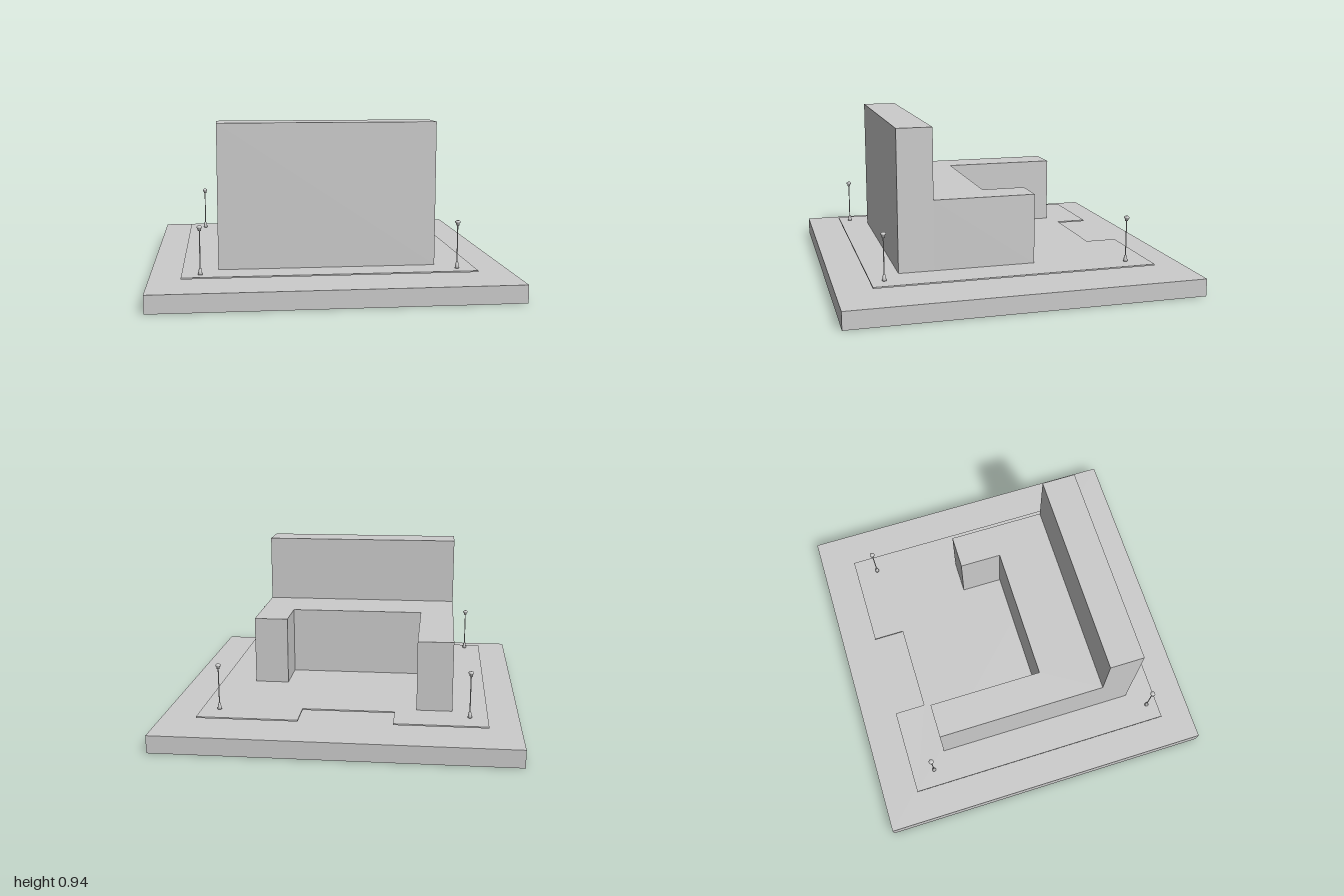
import * as THREE from 'three';

const material = new THREE.MeshStandardMaterial({ color: 0xcccccc });

// Extrudes a floor plan given as [x, z] corners from height y0 to y1
function extrudePlan(name, plan, y0, y1) {
  const shape = new THREE.Shape(plan.map(([x, z]) => new THREE.Vector2(x, -z)));
  const geometry = new THREE.ExtrudeGeometry(shape, { depth: y1 - y0, bevelEnabled: false });
  geometry.rotateX(-Math.PI / 2).translate(0, y0, 0);
  const mesh = new THREE.Mesh(geometry, material);
  mesh.name = name;
  return mesh;
}

function rectangle(x0, x1, z0, z1) {
  return [[x0, z0], [x0, z1], [x1, z1], [x1, z0]];
}

// Lamp post: flared foot, thin pole and a small capped head
function createLamp(x, z) {
  const lamp = new THREE.Group();
  lamp.name = 'lampPost';
  const addPart = (name, profile) => {
    const points = profile.map(([r, y]) => new THREE.Vector2(r, y));
    const mesh = new THREE.Mesh(new THREE.LatheGeometry(points, 12), material);
    mesh.name = name;
    lamp.add(mesh);
  };
  addPart('lampFoot', [[0, 0], [0.012, 0], [0.011, 0.012], [0.006, 0.036], [0, 0.036]]);
  addPart('lampPole', [[0.003, 0.03], [0.003, 0.245]]);
  addPart('lampHead', [[0, 0.238], [0.008, 0.238], [0.01, 0.252], [0.015, 0.254], [0.015, 0.261], [0.008, 0.267], [0, 0.267]]);
  lamp.position.set(x, 0.137, z);
  return lamp;
}

export function createModel() {
  const model = new THREE.Group();
  model.name = 'buildingSite';

  // Ground slab
  model.add(extrudePlan('groundSlab', rectangle(-1, 1, -1, 1), 0, 0.1));

  // Thin plaza plate with a notch at the back, hovering above the slab
  model.add(extrudePlan('plazaPlate', [
    [-0.82, -0.79], [-0.82, 0.81], [0.78, 0.81], [0.78, -0.79],
    [0.215, -0.79], [0.215, -0.605], [-0.305, -0.605], [-0.305, -0.79],
  ], 0.13, 0.138));

  // Building: low U-shaped wings and a tall front block
  const building = new THREE.Group();
  building.name = 'building';
  building.add(extrudePlan('lowWings', [
    [-0.625, -0.565], [-0.625, 0.44], [0.575, 0.44], [0.575, -0.14],
    [0.375, -0.14], [0.375, 0.11], [-0.425, 0.11], [-0.425, -0.565],
  ], 0.137, 0.537));
  building.add(extrudePlan('tallBlock', rectangle(-0.625, 0.575, 0.44, 0.64), 0.137, 0.937));
  model.add(building);

  // Lamp posts at the plaza corners
  for (const [x, z] of [[-0.72, -0.655], [0.68, -0.655], [-0.72, 0.745], [0.68, 0.735]]) {
    model.add(createLamp(x, z));
  }
  return model;
}
